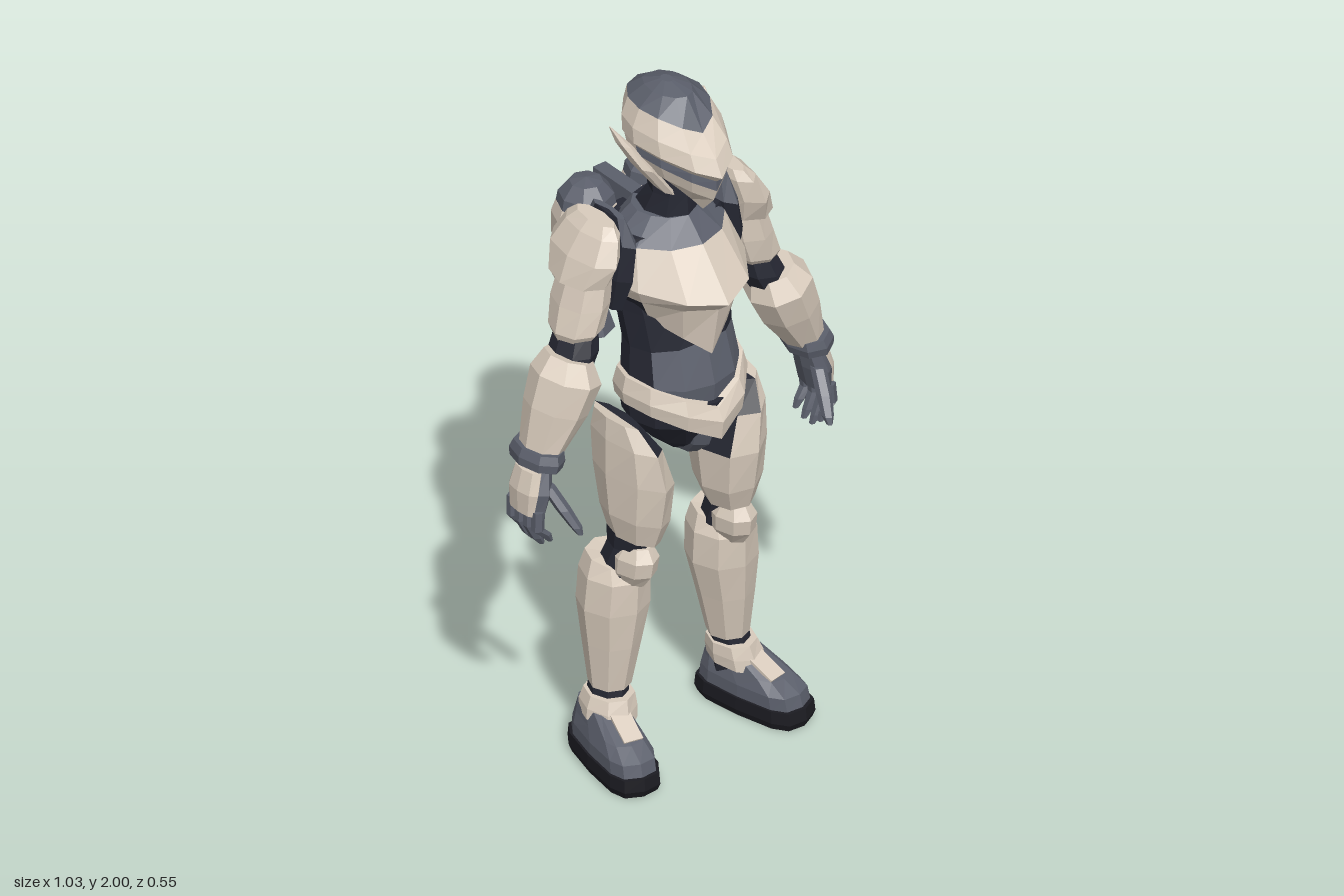
import * as THREE from 'three';

const paint = (name, color) => {
  const m = new THREE.MeshStandardMaterial({ color });
  m.name = name;
  return m;
};

export function createModel() {
  const armour = paint('armour beige', 0xd8cbbc);
  const slate = paint('slate grey', 0x5b5f6b);
  const suit = paint('dark suit', 0x262833);
  const rubber = paint('sole black', 0x1c1c22);
  const model = new THREE.Group();

  // Faceted loft through level rings: [y, x, z, halfWidth, front, back, frontLift, backLift].
  // mat is one material, or a rule (row, side, forward) => material. tilt raises the +x side.
  function loft(name, rings, mat, { n = 8, pow = 1, square = 1, tilt = 0, parent = model } = {}) {
    const rows = [...rings].sort((a, b) => a[0] - b[0]).map(
      ([y, x, z, w, f = w, b = f, yf = 0, yb = 0]) => Array.from({ length: n }, (_, j) => {
        const a = (j / n) * Math.PI * 2, s = Math.sin(a), c = Math.cos(a), k = Math.abs(c);
        const dx = w * Math.sign(s) * Math.pow(Math.abs(s), square);
        const dz = c > 0 ? f * Math.pow(k, pow * square) : -b * Math.pow(k, square);
        return [x + dx, y + (c > 0 ? yf : yb) * (1 - Math.abs(s)) + tilt * dx, z + dz];
      }));
    const buckets = new Map();
    const put = (m, ...points) => {
      if (!buckets.has(m)) buckets.set(m, []);
      buckets.get(m).push(...points.flat());
    };
    const middle = (row) => [0, 1, 2].map((i) => row.reduce((t, p) => t + p[i], 0) / n);
    const last = rows.length - 1;
    for (let j = 0; j < n; j++) {
      const k = (j + 1) % n, a = ((j + 0.5) / n) * Math.PI * 2;
      const pick = (i) => (typeof mat === 'function' ? mat(i, Math.sin(a), Math.cos(a)) : mat);
      for (let i = 0; i < last; i++) {
        const [p, q, r, t] = [rows[i][j], rows[i][k], rows[i + 1][k], rows[i + 1][j]];
        put(pick(i), p, q, r, p, r, t);
      }
      put(pick(0), rows[0][k], rows[0][j], middle(rows[0]));
      put(pick(last - 1), rows[last][j], rows[last][k], middle(rows[last]));
    }
    const geo = new THREE.BufferGeometry(), all = [];
    [...buckets.values()].forEach((points, i) => {
      geo.addGroup(all.length / 3, points.length / 3, i);
      for (const v of points) all.push(v);
    });
    geo.setAttribute('position', new THREE.Float32BufferAttribute(all, 3));
    geo.computeVertexNormals();
    return add(name, geo, [...buckets.keys()], parent);
  }

  function add(name, geo, mat, parent = model) {
    const mesh = new THREE.Mesh(geo, mat);
    mesh.name = name;
    parent.add(mesh);
    return mesh;
  }

  // Faceted turned part
  function turned(name, profile, mat, x, z) {
    const geo = new THREE.LatheGeometry(profile.map(([r, y]) => new THREE.Vector2(r, y)), 8).toNonIndexed();
    geo.computeVertexNormals();
    add(name, geo, mat).position.set(x, 0, z);
  }

  // Helmet with V-shaped visor slit, brow and dark crown
  loft('helmet', [
    [1.735, 0, 0.05, 0.05, 0.11, 0.07, -0.065, 0.03],
    [1.785, 0, 0.05, 0.105, 0.155, 0.11, -0.065, 0.02],
    [1.826, 0, 0.04, 0.121, 0.178, 0.13, -0.072, 0],
    [1.848, 0, 0.03, 0.119, 0.185, 0.135, -0.065, 0.01],
    [1.858, 0, 0.03, 0.126, 0.21, 0.138, -0.055, 0.01],
    [1.9, 0, 0.02, 0.122, 0.195, 0.132, -0.05, 0.02],
    [1.95, 0, 0.02, 0.1, 0.14, 0.13, -0.045, 0],
    [1.985, 0, 0.02, 0.055, 0.075, 0.09, 0, -0.01],
    [2, 0, 0.01, 0.015, 0.02],
  ], (row, x, z) => {
    if (row === 0) return z > -0.3 ? armour : suit;
    if (row === 2 && z > 0.2) return slate;
    if (row >= 6 || (row >= 3 && z < -0.8)) return slate;
    return armour;
  }, { n: 12, pow: 1.2 });
  loft('neck', [
    [1.78, 0, 0.03, 0.07, 0.06], [1.68, 0, 0.03, 0.062, 0.065],
    [1.62, 0, 0.01, 0.075, 0.09], [1.57, 0, 0, 0.1, 0.1],
  ], suit);

  // Torso
  loft('bodySuit', [
    [1.04, 0, 0.06, 0.16, 0.14, 0.13], [1.15, 0, 0.06, 0.165, 0.15, 0.13],
    [1.25, 0, 0.05, 0.155, 0.125, 0.12, 0.02], [1.36, 0, 0.03, 0.165, 0.125, 0.12],
    [1.5, 0, 0, 0.19, 0.12, 0.11], [1.58, 0, 0, 0.17, 0.1, 0.1],
  ], (row, x, z) => (row < 2 && z > 0.6 ? slate : suit), { n: 12 });
  loft('chestPlate', [
    [1.36, 0, 0.02, 0.145, 0.178, 0.11, -0.12], [1.42, 0, 0.02, 0.185, 0.205, 0.11, -0.03],
    [1.46, 0, 0, 0.205, 0.268, 0.12, -0.035], [1.56, 0, 0, 0.17, 0.16, 0.115],
    [1.62, 0, 0, 0.09, 0.1, 0.085],
  ], (row, x, z) => {
    if (row === 3) return z > -0.8 ? slate : suit;
    return z > (row === 0 ? 0.5 : 0) ? armour : suit;
  }, { n: 12, pow: 1.25 });
  loft('pelvis', [
    [0.9, 0, 0.05, 0.035, 0.05], [0.95, 0, 0.06, 0.09, 0.1],
    [1.03, 0, 0.06, 0.16, 0.15, 0.13], [1.1, 0, 0.06, 0.17, 0.16, 0.135],
  ], suit, { n: 12 });
  loft('groinPlate', [
    [0.905, 0, 0.09, 0.028, 0.045], [0.95, 0, 0.1, 0.045, 0.085], [1.04, 0, 0.1, 0.06, 0.12],
  ], slate);
  loft('hipBelt', [
    [1.09, 0, 0.06, 0.182, 0.178, 0.142, -0.095, -0.06],
    [1.125, 0, 0.06, 0.188, 0.185, 0.145, -0.075, -0.05],
    [1.17, 0, 0.06, 0.178, 0.165, 0.132, -0.085, -0.05],
  ], armour, { n: 12, pow: 1.15 });

  // Jet pack frame
  add('packSpine', new THREE.BoxGeometry(0.042, 0.26, 0.16), slate).position.set(0, 1.46, -0.19);
  add('packPlate', new THREE.BoxGeometry(0.24, 0.24, 0.06), suit).position.set(0, 1.44, -0.115);

  for (const s of [1, -1]) {
    const side = s > 0 ? 'left' : 'right';
    const part = (name, rings, mat, { tilt = 0, ...opts } = {}) =>
      loft(side + name, rings.map(([y, x, ...rest]) => [y, x * s, ...rest]), mat, { tilt: tilt * s, ...opts });

    part('EarFin', [
      [1.73, 0.075, 0.09, 0.015, 0.045], [1.8, 0.117, 0.05, 0.018, 0.05],
      [1.85, 0.138, 0, 0.014, 0.034], [1.89, 0.156, -0.03, 0.002, 0.005],
    ], armour, { n: 6 });

    // Jet canister
    turned(side + 'Canister', [
      [0.05, 1.31], [0.08, 1.315], [0.092, 1.34], [0.092, 1.42], [0.08, 1.44], [0.08, 1.45],
      [0.092, 1.465], [0.092, 1.53], [0.08, 1.565], [0.05, 1.565],
    ], armour, s * 0.112, -0.185);
    turned(side + 'CanisterCap', [[0.08, 1.56], [0.074, 1.595], [0.045, 1.63], [0, 1.64]], slate, s * 0.112, -0.185);
    turned(side + 'Nozzle', [
      [0, 1.22], [0.055, 1.18], [0.077, 1.18], [0.054, 1.25], [0.05, 1.285], [0.074, 1.29], [0.074, 1.32], [0, 1.32],
    ], slate, s * 0.112, -0.185);

    // Shoulder and arm
    part('ShoulderJoint', [
      [1.38, 0.19, -0.01, 0.025, 0.07], [1.48, 0.182, -0.01, 0.04, 0.105],
      [1.58, 0.17, -0.01, 0.032, 0.105], [1.65, 0.172, -0.015, 0.014, 0.065],
    ], (row, x) => (row === 2 && x * s < 0.5 ? slate : suit));
    part('ShoulderPad', [
      [1.648, 0.216, -0.015, 0.026, 0.075], [1.622, 0.226, -0.015, 0.044, 0.105],
      [1.56, 0.25, -0.018, 0.06, 0.13], [1.49, 0.268, -0.015, 0.07, 0.1],
    ], armour);
    part('UpperArm', [
      [1.52, 0.25, -0.01, 0.06, 0.08], [1.42, 0.272, -0.01, 0.07, 0.09],
      [1.35, 0.294, 0, 0.07, 0.078], [1.325, 0.3, 0, 0.055, 0.06],
    ], armour);
    part('Elbow', [
      [1.36, 0.29, 0, 0.05, 0.06], [1.29, 0.31, 0.01, 0.064, 0.07], [1.22, 0.34, 0.02, 0.055, 0.06],
    ], suit);
    part('Forearm', [
      [1.285, 0.335, 0.02, 0.06, 0.07], [1.235, 0.352, 0.03, 0.088, 0.1],
      [1.15, 0.387, 0.03, 0.08, 0.09], [1.04, 0.437, 0.03, 0.05, 0.065],
    ], armour, { tilt: 0.35 });
    part('WristCuff', [
      [1.053, 0.443, 0.03, 0.056, 0.08], [1.03, 0.448, 0.03, 0.062, 0.088], [1.007, 0.452, 0.03, 0.058, 0.084],
    ], slate, { tilt: 0.2 });
    part('Palm', [
      [1.01, 0.45, 0.03, 0.032, 0.05], [0.94, 0.467, 0.035, 0.036, 0.068], [0.87, 0.478, 0.03, 0.027, 0.064],
    ], slate);
    part('HandGuard', [
      [1, 0.475, 0.03, 0.024, 0.05], [0.94, 0.492, 0.03, 0.024, 0.058], [0.875, 0.5, 0.03, 0.013, 0.05],
    ], armour);
    [0.1, 0.075, 0.075, 0.09].forEach((up, i) => {
      const z = 0.08 - i * 0.034, tip = 0.69 + up;
      part('Finger' + (i + 1), [
        [0.89, 0.485, z, 0.018, 0.018], [0.835, 0.489, z + 0.003, 0.018, 0.017],
        [tip + 0.025, 0.467, z + 0.006, 0.017, 0.015], [tip, 0.452, z + 0.006, 0.009, 0.009],
      ], slate, { n: 6 });
    });
    part('Thumb', [
      [0.955, 0.452, 0.075, 0.02, 0.023], [0.9, 0.435, 0.12, 0.02, 0.024],
      [0.855, 0.42, 0.155, 0.016, 0.018], [0.835, 0.416, 0.168, 0.008, 0.009],
    ], slate, { n: 6 });

    // Leg
    part('Thigh', [
      [1.05, 0.195, 0.045, 0.035, 0.09], [0.98, 0.172, 0.052, 0.066, 0.135, 0.122],
      [0.87, 0.154, 0.055, 0.087, 0.145, 0.12], [0.75, 0.155, 0.065, 0.081, 0.115, 0.1],
      [0.68, 0.158, 0.07, 0.058, 0.085, 0.08],
    ], (row, x) => (row >= 2 && x * s < (row === 3 ? -0.3 : -0.8) ? suit : armour), { tilt: 0.25 });
    part('KneeSleeve', [[0.71, 0.16, 0.065, 0.057, 0.08], [0.65, 0.163, 0.055, 0.05, 0.065],
      [0.57, 0.17, 0.03, 0.06, 0.07]], suit);
    part('KneeCap', [
      [0.665, 0.162, 0.085, 0.038, 0.05, 0.05], [0.63, 0.163, 0.08, 0.056, 0.077, 0.085],
      [0.585, 0.165, 0.075, 0.054, 0.075, 0.085], [0.545, 0.168, 0.06, 0.035, 0.06],
    ], armour);
    part('Shin', [
      [0.605, 0.177, 0.008, 0.072, 0.075, 0.078, -0.04], [0.555, 0.178, 0.014, 0.09, 0.1],
      [0.46, 0.181, 0.012, 0.096, 0.1], [0.35, 0.189, 0.015, 0.077, 0.084], [0.215, 0.197, 0.018, 0.056, 0.06],
    ], armour);
    part('Ankle', [[0.24, 0.198, 0.018, 0.05, 0.055], [0.1, 0.212, 0.02, 0.055, 0.07]], suit);
    part('AnkleCuff', [
      [0.196, 0.204, 0.025, 0.062, 0.075], [0.165, 0.21, 0.028, 0.07, 0.085, 0.085, -0.01],
      [0.135, 0.214, 0.03, 0.07, 0.09, 0.085, -0.02],
    ], armour);

    // Boot, toes turned out
    const boot = new THREE.Group();
    boot.name = side + 'Boot';
    boot.position.set(s * 0.218, 0, 0);
    boot.rotation.y = s * 0.2;
    model.add(boot);
    const shape = { n: 12, square: 0.6, parent: boot };
    loft('sole', [[0, 0, 0.085, 0.072, 0.168], [0.02, 0, 0.085, 0.079, 0.176], [0.055, 0, 0.085, 0.077, 0.172]], rubber, shape);
    loft('upper', [
      [0.05, 0, 0.085, 0.071, 0.163], [0.09, 0, 0.082, 0.07, 0.155],
      [0.122, 0, 0.055, 0.06, 0.13, 0.12, -0.006], [0.16, 0, 0.015, 0.05, 0.07],
    ], slate, shape);
    const tongue = add('tongue', new THREE.BoxGeometry(0.055, 0.009, 0.1), armour, boot);
    tongue.position.set(s * -0.012, 0.143, 0.128);
    tongue.rotation.x = 0.46;
  }
  return model;
}
